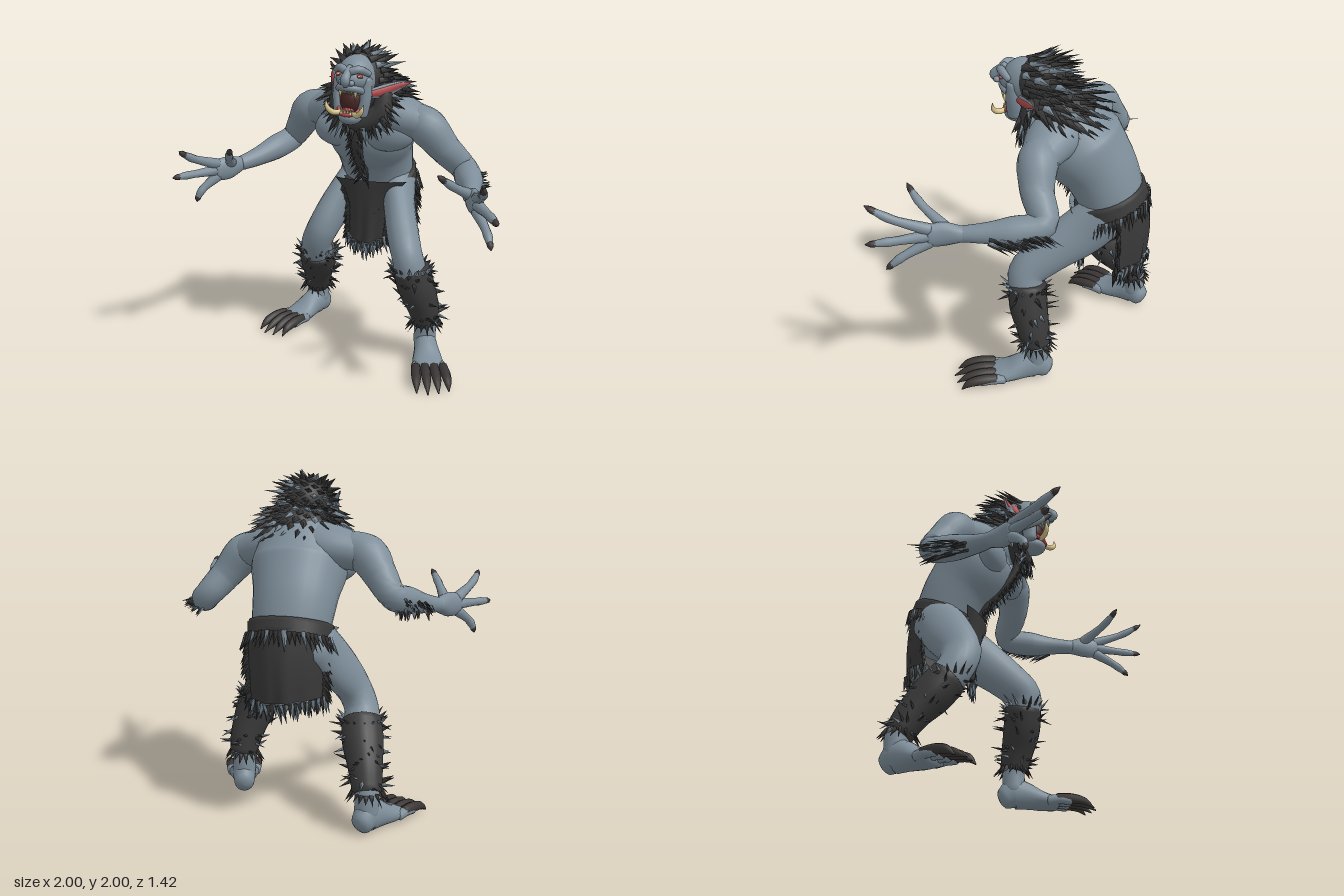
import * as THREE from 'three';
import { mergeGeometries } from 'three/addons/utils/BufferGeometryUtils.js';

const V = (x, y, z) => new THREE.Vector3(x, y, z);
const mat = (name, color) => Object.assign(new THREE.MeshStandardMaterial({ color }), { name });

export function createModel() {
  const root = new THREE.Group();
  root.name = 'creature';
  const skin = mat('skin', 0x7e8e9a), fur = mat('fur', 0x3a3a3a), claw = mat('claw', 0x3b3736);
  const red = mat('red flesh', 0xb04a4c), throat = mat('throat', 0x4a2626);
  const tooth = mat('tooth', 0xd9c48c), eyeMat = mat('eye', 0xc9a878);

  let seed = 7;
  const rnd = () => (seed = (seed * 16807) % 2147483647) / 2147483647;
  const jit = (a) => (rnd() - 0.5) * 2 * a;

  const add = (name, geo, material, parent = root) => {
    const m = new THREE.Mesh(geo, material);
    m.name = name;
    parent.add(m);
    return m;
  };

  // Rounded sweep through stations [x, y, z, ra, rb]
  function sweep(st, { ref = V(1, 0, 0), sides = 18, steps = 5, cap = 0.6 } = {}) {
    const curve = new THREE.CatmullRomCurve3(st.map((s) => V(s[0], s[1], s[2])), false, 'centripetal');
    const radii = new THREE.CatmullRomCurve3(st.map((s) => V(s[3], s[4] ?? s[3], 0)), false, 'catmullrom', 0.4);
    const n = (st.length - 1) * steps;
    const rings = [[0, 0.01, -1], [0, 0.5, -0.87], [0, 0.87, -0.5]];
    for (let i = 0; i <= n; i++) rings.push([i / n, 1, 0]);
    rings.push([1, 0.87, 0.5], [1, 0.5, 0.87], [1, 0.01, 1]);
    const pos = [], idx = [];
    rings.forEach(([t, f, o], i) => {
      const T = curve.getTangent(t), r = radii.getPoint(t);
      const S = ref.clone().addScaledVector(T, -ref.dot(T)).normalize();
      const U = T.clone().cross(S);
      const c = curve.getPoint(t).addScaledVector(T, o * cap * Math.min(r.x, r.y));
      for (let j = 0; j < sides; j++) {
        const a = (j / sides) * Math.PI * 2;
        const p = c.clone().addScaledVector(S, Math.cos(a) * r.x * f).addScaledVector(U, Math.sin(a) * r.y * f);
        pos.push(p.x, p.y, p.z);
        if (i < rings.length - 1) {
          const k = (j + 1) % sides, A = i * sides + j, B = i * sides + k;
          idx.push(A, B, A + sides, B, B + sides, A + sides);
        }
      }
    });
    const g = new THREE.BufferGeometry();
    g.setAttribute('position', new THREE.Float32BufferAttribute(pos, 3));
    g.setIndex(idx);
    g.computeVertexNormals();
    return g;
  }
  const ball = (c, r, w = 24, h = 16) => new THREE.SphereGeometry(1, w, h).scale(...r).translate(...c);

  // Pointed tufts, collected and merged per part
  function tufts(name, list, greyEvery = 4, parent = root) {
    const sets = [[], []];
    list.forEach(([p, d, len, r], i) => {
      const g = new THREE.ConeGeometry(r, len, 4, 1).scale(1, 1, 0.6).translate(0, len * 0.4, 0);
      g.applyQuaternion(new THREE.Quaternion().setFromUnitVectors(V(0, 1, 0), d.clone().normalize()));
      sets[i % greyEvery === 0 ? 1 : 0].push(g.translate(p.x, p.y, p.z));
    });
    sets.forEach((s, i) => s.length && add(name + (i ? 'Light' : 'Dark'), mergeGeometries(s), i ? skin : fur, parent));
  }

  // Torso, shoulders and chest
  add('torso', sweep([[0.05, 0.98, -0.47, 0.19, 0.18], [0.045, 1.14, -0.44, 0.225, 0.2], [0.04, 1.3, -0.37, 0.245, 0.22],
    [0.045, 1.45, -0.26, 0.28, 0.25], [0.05, 1.58, -0.19, 0.24, 0.2], [0.05, 1.67, -0.08, 0.13, 0.13],
    [0.05, 1.72, 0, 0.1, 0.1]], { sides: 28 }), skin);
  add('shoulders', sweep([[-0.32, 1.54, -0.28, 0.1, 0.11], [-0.14, 1.57, -0.24, 0.13, 0.17], [0.05, 1.58, -0.19, 0.15, 0.18],
    [0.24, 1.56, -0.14, 0.13, 0.16], [0.42, 1.52, -0.1, 0.1, 0.11]], { ref: V(0, 1, 0), sides: 24 }), skin);
  [[-0.1, -0.115], [0.2, -0.075]].forEach(([x, z]) => add('pectoral', ball([x, 1.46, z], [0.17, 0.115, 0.085]), skin));

  // Arms: shoulder to wrist, then hand with three fingers and a thumb
  const arms = [
    { arm: [[0.36, 1.55, -0.11, 0.1], [0.44, 1.5, -0.1, 0.115], [0.54, 1.38, -0.12, 0.095], [0.65, 1.25, -0.18, 0.08],
      [0.71, 1.22, -0.03, 0.082], [0.75, 1.21, 0.12, 0.057], [0.77, 1.2, 0.24, 0.045]],
      palm: [[0.77, 1.2, 0.22, 0.042, 0.042], [0.8, 1.205, 0.33, 0.072, 0.04], [0.835, 1.205, 0.4, 0.068, 0.036]],
      tips: [[0.65, 1.4, 0.58], [0.91, 1.39, 0.72], [0.99, 1.2, 0.7], [0.95, 1.03, 0.61]] },
    { arm: [[-0.26, 1.57, -0.27, 0.1], [-0.36, 1.53, -0.29, 0.115], [-0.44, 1.43, -0.34, 0.095], [-0.52, 1.32, -0.38, 0.078],
      [-0.58, 1.28, -0.24, 0.078], [-0.66, 1.24, -0.09, 0.057], [-0.72, 1.22, 0.01, 0.045]],
      palm: [[-0.72, 1.22, 0, 0.042, 0.042], [-0.77, 1.21, 0.1, 0.072, 0.04], [-0.82, 1.205, 0.16, 0.068, 0.036]],
      tips: [[-0.64, 1.39, 0.34], [-0.92, 1.38, 0.44], [-1.0, 1.2, 0.39], [-0.92, 1.02, 0.25]] },
  ];
  arms.forEach(({ arm, palm, tips }) => {
    const s = Math.sign(arm[0][0]);
    add('arm', sweep(arm, { ref: V(0, 1, 0) }), skin);
    add('palm', sweep(palm, { ref: V(0, 1, 0) }), skin);
    tips.forEach((tp, i) => {
      const e = palm[i ? 2 : 1], tip = V(...tp);
      const base = V(e[0] - (i ? 0 : s * 0.02), e[1] + [0.035, 0.04, 0, -0.04][i], e[2]);
      const at = (t) => {
        const p = base.clone().lerp(tip, t), b = Math.sin(t * Math.PI);
        return [p.x + (i ? s * 0.02 * b : 0), p.y, p.z + 0.025 * b];
      };
      add(i ? 'finger' : 'thumb', sweep([[...at(0), 0.034], [...at(0.4), 0.024], [...at(0.58), 0.025], [...at(0.82), 0.017]],
        { ref: V(0, 1, 0), sides: 10, steps: 3 }), skin);
      add('fingerClaw', sweep([[...at(0.77), 0.0185], [...at(0.88), 0.0175], [...at(1), 0.003]],
        { ref: V(0, 1, 0), sides: 8, steps: 3 }), claw);
    });
    // Forearm fur along the outer underside
    const list = [];
    for (let i = 0; i < 48; i++) {
      const t = i / 52, a = arm[t < 0.5 ? 3 : 4], b = arm[t < 0.5 ? 4 : 5];
      const p = V(...a.slice(0, 3)).lerp(V(...b.slice(0, 3)), (t * 2) % 1), w = jit(1);
      const out = V(s * (0.6 + 0.4 * w), -0.5 + 0.45 * w, -0.15).normalize();
      list.push([p.addScaledVector(out, 0.066), out.clone().multiplyScalar(0.45).add(V(0, 0, -0.9)), 0.08 + rnd() * 0.06, 0.016]);
    }
    tufts('forearmFur', list, 3);
  });

  // Legs with fur cuffs, feet and claws
  const legs = [
    { leg: [[0.17, 1.07, -0.45, 0.12, 0.14], [0.22, 0.95, -0.31, 0.1, 0.15], [0.3, 0.8, -0.11, 0.1, 0.125], [0.355, 0.7, -0.01, 0.095, 0.11],
      [0.39, 0.54, -0.03, 0.1], [0.44, 0.38, -0.07, 0.085], [0.455, 0.25, -0.095, 0.07], [0.455, 0.12, -0.095, 0.07]],
      cuff: [[0.375, 0.63, -0.02, 0.115], [0.41, 0.5, -0.035, 0.115], [0.445, 0.37, -0.07, 0.1], [0.46, 0.26, -0.095, 0.085]],
      foot: [0.455, 0, -0.105], yaw: 0.33 },
    { leg: [[-0.1, 1.06, -0.47, 0.12, 0.15], [-0.19, 0.93, -0.37, 0.1, 0.15], [-0.275, 0.76, -0.26, 0.1, 0.125], [-0.325, 0.65, -0.27, 0.1, 0.11],
      [-0.35, 0.52, -0.36, 0.105], [-0.4, 0.35, -0.5, 0.085], [-0.42, 0.24, -0.56, 0.07], [-0.42, 0.12, -0.565, 0.07]],
      cuff: [[-0.335, 0.58, -0.31, 0.117], [-0.36, 0.48, -0.39, 0.12], [-0.395, 0.36, -0.485, 0.1], [-0.42, 0.24, -0.555, 0.085]],
      foot: [-0.42, 0, -0.57], yaw: -0.4 },
  ];
  legs.forEach(({ leg, cuff, foot, yaw }) => {
    add('leg', sweep(leg, { sides: 22 }), skin);
    add('furCuff', sweep(cuff, { sides: 20, cap: 0.15 }), fur);
    const list = [];
    for (let i = 0; i < 90; i++) {
      const rim = i < 34, t = rim ? (i % 2) * 2.999 : rnd() * 2.99, k = Math.floor(t), a = i * 2.4;
      const p = V(...cuff[k].slice(0, 3)).lerp(V(...cuff[k + 1].slice(0, 3)), t - k);
      const r = THREE.MathUtils.lerp(cuff[k][3], cuff[k + 1][3], t - k), out = V(Math.cos(a), 0, Math.sin(a));
      const d = out.clone().add(V(0, rim ? (t > 1 ? -1.2 : 0.9) : jit(0.6), -0.2));
      list.push([p.addScaledVector(out, r * 0.97), d, 0.05 + rnd() * 0.045, 0.016]);
    }
    tufts('cuffFur', list, 4);
    const g = new THREE.Group();
    g.name = 'foot';
    g.position.set(...foot);
    g.rotation.y = yaw;
    root.add(g);
    add('footBody', sweep([[0, 0.078, -0.045, 0.062, 0.07], [0, 0.105, 0.01, 0.07, 0.095], [0, 0.095, 0.08, 0.076, 0.085],
      [0, 0.066, 0.18, 0.094, 0.058], [0, 0.052, 0.27, 0.1, 0.04]]), skin, g);
    for (let i = 0; i < 4; i++) {
      const x = -0.076 + i * 0.051, e = 0.52 - Math.abs(i - 1.2) * 0.025;
      add('toe', sweep([[x, 0.055, 0.22, 0.03], [x * 1.1, 0.062, 0.29, 0.03], [x * 1.15, 0.052, 0.35, 0.025]], { sides: 10 }), skin, g);
      add('toeClaw', sweep([[x * 1.08, 0.068, 0.27, 0.03], [x * 1.15, 0.068, 0.35, 0.031], [x * 1.22, 0.052, 0.43, 0.024],
        [x * 1.26, 0.012, e, 0.004]], { sides: 8, steps: 4 }), claw, g);
    }
  });

  // Loincloth: belt and two ragged hanging flaps
  add('belt', sweep([[0.045, 1.06, -0.47, 0.245, 0.215], [0.045, 1.15, -0.435, 0.245, 0.22]], { sides: 32, cap: 0.05 }), fur);
  const hem = [];
  for (let i = 0; i < 60; i++) {
    const a = (i / 60) * Math.PI * 2, c = Math.cos(a), s = Math.sin(a);
    hem.push([V(0.045 + c * 0.245, 1.065 - s * 0.08, -0.465 + s * 0.2), V(c * 0.6, -1, s * 0.3), 0.07 + rnd() * 0.05, 0.022]);
  }
  function flap(name, f, side, lining) {
    const make = (flip, off) => {
      const g = new THREE.PlaneGeometry(2, 1, 16, 10), p = g.attributes.position;
      for (let i = 0; i < p.count; i++) {
        const q = f(p.getX(i) * flip, 0.5 - p.getY(i));
        p.setXYZ(i, q.x, q.y, q.z + off);
      }
      g.computeVertexNormals();
      return g;
    };
    add(name, make(side, 0), fur);
    add(name + 'Lining', make(-side, -side * 0.008), lining);
    for (let i = 0; i < 36; i++) {
      const u = -1 + (2 * i) / 35;
      hem.push([f(u, 0.97), V(u * 0.3 + jit(0.2), -1, jit(0.2)), 0.06 + rnd() * 0.07, 0.024]);
      if (i % 2) [-1, 1].forEach((e) => hem.push([f(e, 0.15 + i / 44), V(e * 0.6, -1, jit(0.3)), 0.06 + rnd() * 0.05, 0.02]));
    }
  }
  flap('frontFlap', (u, v) => V(0.045 - 0.045 * v + u * (0.125 + 0.11 * (1 - v) ** 4), 1.11 - 0.46 * v + 0.05 * v * u * u,
    -0.2 - 0.06 * v - 0.05 * u * u + 0.008 * Math.sin(u * 9) * v), 1, skin);
  flap('backFlap', (u, v) => V(0.05 + u * (0.23 - 0.02 * v), 1.17 - 0.45 * v - 0.02 * u * v, -0.665 - 0.02 * Math.sin(v * 3)
    + 0.15 * u * u + 0.01 * Math.sin(u * 11) * v), -1, fur);
  tufts('loinclothFringe', hem, 4);

  // Head
  const head = new THREE.Group();
  head.name = 'head';
  head.position.set(0.045, 1.76, 0.06);
  head.rotation.set(0, -0.06, -0.08);
  root.add(head);
  add('skull', ball([0, 0.045, 0], [0.115, 0.135, 0.14], 28, 20), skin, head);
  add('face', ball([0, 0.05, 0.05], [0.1, 0.075, 0.11]), skin, head);
  add('mouth', ball([0, -0.075, 0.05], [0.072, 0.085, 0.075]), throat, head);
  add('jaw', ball([0, -0.175, 0.06], [0.07, 0.047, 0.08]), skin, head);
  add('tongue', ball([0, -0.125, 0.085], [0.036, 0.016, 0.05]), red, head);
  add('lowerLip', sweep([[-0.066, -0.115, 0.08, 0.01], [-0.046, -0.144, 0.12, 0.012], [0, -0.152, 0.136, 0.012],
    [0.046, -0.144, 0.12, 0.012], [0.066, -0.115, 0.08, 0.01]], { ref: V(0, 1, 0), sides: 10 }), red, head);
  add('brow', sweep([[-0.1, 0.09, 0.075, 0.018], [-0.055, 0.115, 0.128, 0.024], [0, 0.1, 0.15, 0.022],
    [0.055, 0.115, 0.128, 0.024], [0.1, 0.09, 0.075, 0.018]], { ref: V(0, 1, 0), sides: 12 }), skin, head);
  add('nose', sweep([[0, 0.12, 0.125, 0.02], [0, 0.09, 0.165, 0.023], [0, 0.055, 0.192, 0.028], [0, 0.032, 0.175, 0.022]]), skin, head);
  add('upperLip', sweep([[-0.082, -0.02, 0.07, 0.018], [-0.05, 0.002, 0.12, 0.022], [0, 0.008, 0.145, 0.022],
    [0.05, 0.002, 0.12, 0.022], [0.082, -0.02, 0.07, 0.018]], { ref: V(0, 1, 0), sides: 12 }), skin, head);
  [-1, 1].forEach((s) => {
    add('cheek', sweep([[s * 0.082, 0.05, 0.06, 0.034], [s * 0.084, -0.06, 0.055, 0.032, 0.045], [s * 0.068, -0.15, 0.055, 0.036, 0.045]]), skin, head);
    add('nostril', ball([s * 0.03, 0.04, 0.167], [0.02, 0.017, 0.022], 12, 8), skin, head);
    add('eyelid', ball([s * 0.064, 0.078, 0.128], [0.02, 0.012, 0.013], 12, 8), red, head);
    add('eye', ball([s * 0.064, 0.078, 0.135], [0.01, 0.007, 0.01], 12, 8), eyeMat, head);
    add('tusk', sweep([[s * 0.04, -0.145, 0.12, 0.015], [s * 0.078, -0.14, 0.155, 0.017], [s * 0.104, -0.112, 0.172, 0.013],
      [s * 0.115, -0.07, 0.17, 0.002]], { ref: V(0, 0, 1), sides: 10 }), tooth, head);
    add('fang', new THREE.ConeGeometry(0.012, 0.06, 8).rotateX(Math.PI).translate(s * 0.046, -0.042, 0.13), tooth, head);
    // Pointed ear with a red inner face
    const e = s > 0 ? [0.29, 0.035, -0.14] : [-0.2, 0.1, -0.09];
    const ear = (off, k) => sweep([[s * 0.1, -0.035, 0.01 + off, 0.03 * k, 0.012], [s * 0.16, -0.02 + (s < 0 ? 0.05 : 0), -0.035 + off, 0.04 * k, 0.011],
      [e[0] * 0.82, e[1] * 0.5, e[2] * 0.68 + off, 0.026 * k, 0.008], [e[0], e[1], e[2] + off, 0.003, 0.003]], { ref: V(0, 1, 0), sides: 12 });
    add('ear', ear(0, 1), skin, head);
    add('earInner', ear(0.009, 0.6), red, head);
  });
  for (let i = 0; i < 4; i++) {
    const x = -0.027 + i * 0.018;
    add('upperTooth', new THREE.ConeGeometry(0.008, 0.028, 6).rotateX(Math.PI).translate(x, -0.022, 0.142), tooth, head);
    add('lowerTooth', new THREE.ConeGeometry(0.01, 0.036, 6).translate(x, -0.128, 0.134), tooth, head);
  }

  // Mane: two fur masses, a collar and a chest strip, all covered with tufts
  const mane = [];
  const masses = [[[0.06, 1.815, -0.025], [0.135, 0.14, 0.155], 110, 0.55, -0.35], [[0.085, 1.69, -0.15], [0.2, 0.12, 0.2], 150, 0.45, -0.75]];
  masses.forEach(([c, r, n, maxZ, minY], k) => {
    add('mane', ball(c, r), fur);
    for (let i = 0; i < n; i++) {
      const y = 1 - (2 * (i + 0.5)) / n, a = i * 2.39996, w = Math.sqrt(1 - y * y);
      const d = V(w * Math.cos(a), y, w * Math.sin(a));
      if (d.z > maxZ || d.y < minY) continue;
      mane.push([V(c[0] + d.x * r[0], c[1] + d.y * r[1], c[2] + d.z * r[2]),
        V(d.x * 0.65, d.y * 0.35, d.z * 0.6).add(V(jit(0.15), (k ? -0.25 : -0.05) + jit(0.1), -0.65)), 0.09 + rnd() * 0.08, 0.026]);
    }
  });
  const collar = [[-0.08, 1.74, 0, 0.05], [-0.07, 1.62, 0.02, 0.055], [0.05, 1.535, 0.03, 0.06], [0.18, 1.6, 0.02, 0.06], [0.2, 1.72, 0, 0.05]];
  add('collar', sweep(collar, { ref: V(0, 0, 1) }), fur);
  const path = new THREE.CatmullRomCurve3(collar.map((c) => V(c[0], c[1], c[2])));
  for (let i = 0; i < 60; i++) {
    const p = path.getPoint(i / 59), d = p.clone().sub(V(0.05, 1.72, 0)).normalize();
    p.addScaledVector(d, 0.04).add(V(0, 0, jit(0.045)));
    mane.push([p, d.add(V(jit(0.2), -0.3, jit(0.5) - 0.1)), 0.07 + rnd() * 0.06, 0.022]);
  }
  const strip = [[0.03, 1.5, 0.03, 0.055, 0.03], [0.025, 1.4, 0, 0.042, 0.03], [0.02, 1.32, -0.06, 0.038, 0.035],
    [0.02, 1.2, -0.165, 0.032, 0.03], [0.02, 1.12, -0.225, 0.02, 0.02]];
  add('chestFur', sweep(strip), fur);
  for (let i = 0; i < 44; i++) {
    const t = (i / 44) * 3.99, k = Math.floor(t), s = i % 2 ? 1 : -1;
    const p = V(...strip[k].slice(0, 3)).lerp(V(...strip[k + 1].slice(0, 3)), t - k);
    mane.push([p.add(V(s * 0.03 * rnd(), 0, 0.022)), V(s * (0.3 + rnd() * 0.5), -0.8, 0.25), 0.05 + rnd() * 0.03, 0.014]);
  }
  tufts('maneTufts', mane, 4);
  return root;
}
